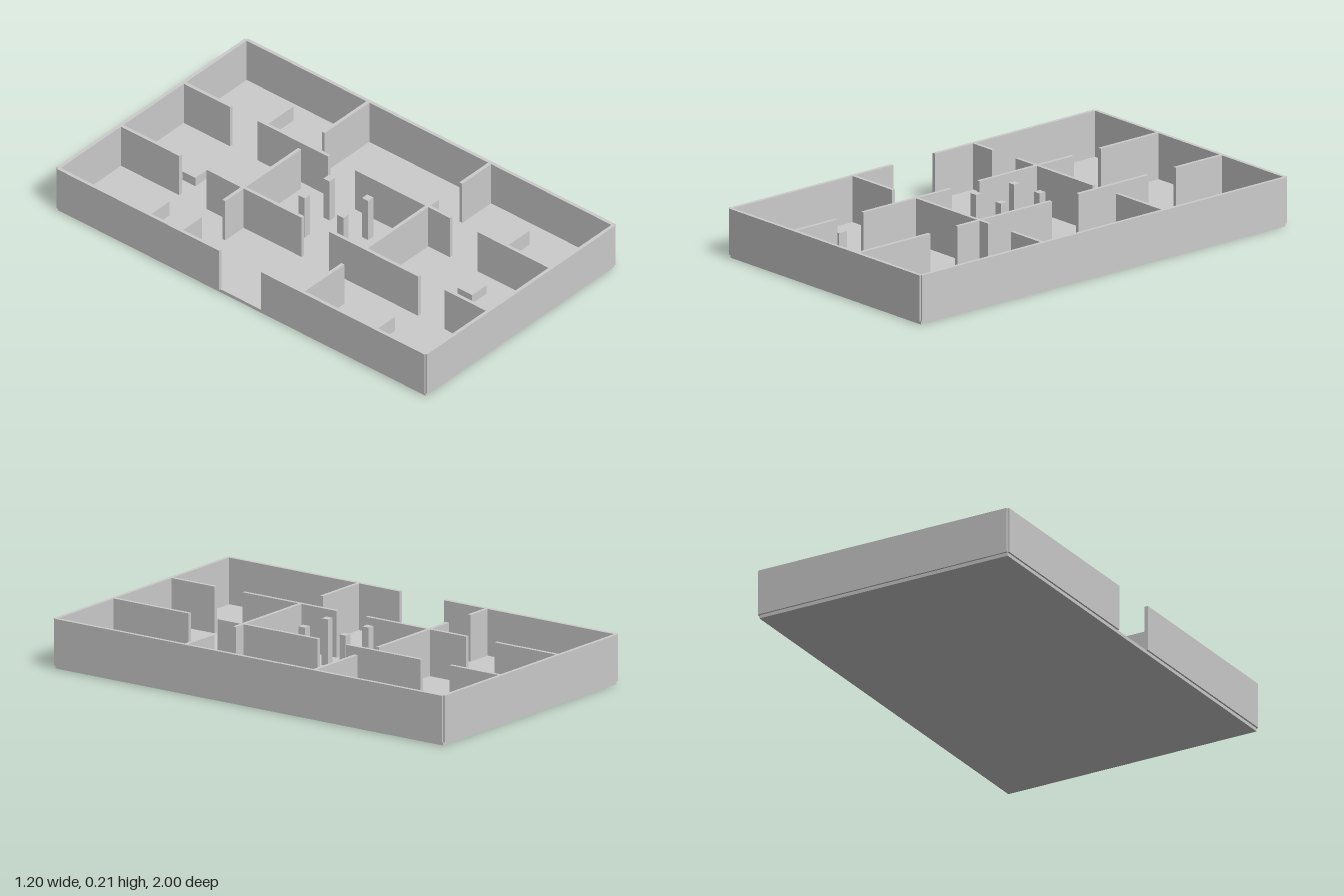
import * as THREE from 'three';

const FLOOR = 0.015, TOP = 0.213, T = 0.016; // slab height, wall top, wall thickness
const EX = 0.592, EZ = 0.992;                // centre lines of the outer walls

export function createModel() {
  const model = new THREE.Group();
  const material = new THREE.MeshStandardMaterial({ color: 0xcccccc, flatShading: true });

  // Axis-aligned block given by its extents
  function block(name, x0, x1, y0, y1, z0, z1) {
    const mesh = new THREE.Mesh(new THREE.BoxGeometry(x1 - x0, y1 - y0, z1 - z0), material);
    mesh.position.set((x0 + x1) / 2, (y0 + y1) / 2, (z0 + z1) / 2);
    mesh.name = name;
    model.add(mesh);
  }
  // Wall pieces along z at a given x, or along x at a given z
  const wallsAlongZ = (name, x, spans) => spans.forEach(([a, b]) =>
    block(name, x - T / 2, x + T / 2, FLOOR, TOP, a, b));
  const wallsAlongX = (name, z, spans) => spans.forEach(([a, b]) =>
    block(name, a, b, FLOOR, TOP, z - T / 2, z + T / 2));

  block('floor', -EX, EX, 0, FLOOR, -EZ, EZ);

  // Outer walls, with the entrance gap on the right side
  wallsAlongX('frontWall', EZ, [[-EX, EX]]);
  wallsAlongX('backWall', -EZ, [[-EX, EX]]);
  wallsAlongZ('leftWall', EX, [[-EZ, EZ]]);
  wallsAlongZ('rightWall', -EX, [[-EZ, -0.115], [0.112, EZ]]);

  // Partitions, broken by doorways
  wallsAlongZ('rightPartition', -0.197, [[-EZ, -0.67], [-0.523, -0.01], [0.138, 0.62], [0.763, EZ]]);
  wallsAlongZ('leftPartition', 0.197, [[-EZ, -0.734], [-0.586, -0.205], [-0.06, 0.453], [0.6, EZ]]);
  wallsAlongX('backPartition', -0.33, [[-EX, -0.468], [-0.321, 0.156], [0.304, EX]]);
  wallsAlongX('frontPartition', 0.327, [[-EX, -0.337], [-0.197, 0.257], [0.403, EX]]);

  // Four columns in the central hall
  for (const x of [-0.078, 0.078])
    for (const z of [-0.104, 0.104])
      block('column', x - 0.0165, x + 0.0165, FLOOR, TOP, z - 0.0165, z + 0.0165);

  // Furniture: name, centre x, centre z, width, depth, height
  const furniture = [
    ['bench', -0.408, -0.63, 0.143, 0.043, 0.07],
    ['bench', 0.415, -0.676, 0.16, 0.043, 0.07],
    ['bench', -0.41, 0.594, 0.127, 0.043, 0.07],
    ['bench', 0.396, 0.62, 0.143, 0.043, 0.07],
    ['table', -0.066, -0.695, 0.098, 0.07, 0.042],
    ['table', 0.05, 0.691, 0.092, 0.08, 0.042],
  ];
  for (const [name, x, z, w, d, h] of furniture)
    block(name, x - w / 2, x + w / 2, FLOOR, FLOOR + h, z - d / 2, z + d / 2);

  return model;
}
